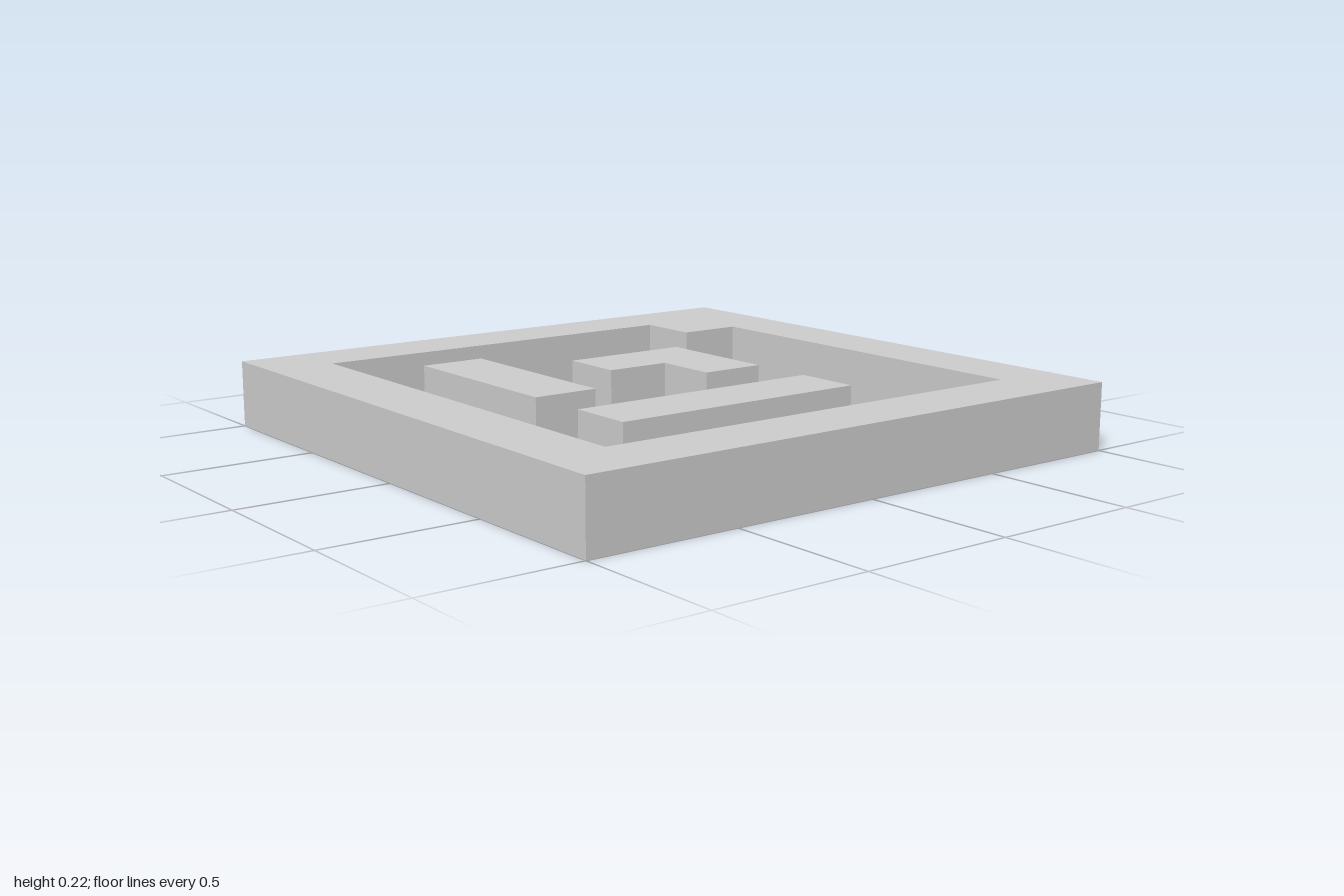
import * as THREE from 'three';

const CELL = 2 / 9;      // plan is laid out on a 9 x 9 grid
const HEIGHT = CELL;

const material = new THREE.MeshStandardMaterial({
  color: 0xcccccc, flatShading: true, side: THREE.DoubleSide,
});

// Grid corner (column, row from the back) to plan coordinates (x, -z)
const plan = (cells) => cells.map(([c, r]) => new THREE.Vector2(c * CELL - 1, 1 - r * CELL));

// Outlines, counterclockwise seen from above
const rect = (c0, r0, c1, r1) => plan([[c0, r1], [c1, r1], [c1, r0], [c0, r0]]);
const outer = rect(0, 0, 9, 9);
const pocket = plan([[1, 8], [8, 8], [8, 1], [2, 1], [2, 2], [1, 2]]);
const islands = {
  cornerIsland: plan([[3, 5], [4, 5], [4, 4], [5, 4], [5, 3], [3, 3]]),
  sideBar: rect(6, 3, 7, 7),
  frontBar: rect(2, 6, 5, 7),
};

// Flat horizontal sheet at height y, with optional holes
function sheet(name, outline, y, holes = []) {
  const shape = new THREE.Shape(outline);
  shape.holes = holes.map((h) => new THREE.Path(h));
  const geometry = new THREE.ShapeGeometry(shape).rotateX(-Math.PI / 2).translate(0, y, 0);
  const mesh = new THREE.Mesh(geometry, material);
  mesh.name = name;
  return mesh;
}

// Upright wall along a closed outline; faces outward for counterclockwise order
function walls(name, outline) {
  const pos = [];
  outline.forEach((a, i) => {
    const b = outline[(i + 1) % outline.length];
    const a0 = [a.x, 0, -a.y], a1 = [a.x, HEIGHT, -a.y];
    const b0 = [b.x, 0, -b.y], b1 = [b.x, HEIGHT, -b.y];
    pos.push(...a0, ...b0, ...b1, ...a0, ...b1, ...a1);
  });
  const geometry = new THREE.BufferGeometry();
  geometry.setAttribute('position', new THREE.Float32BufferAttribute(pos, 3));
  geometry.computeVertexNormals();
  const mesh = new THREE.Mesh(geometry, material);
  mesh.name = name;
  return mesh;
}

export function createModel() {
  const model = new THREE.Group();
  model.name = 'walledTray';

  // Hollow rim, open underneath
  const rim = new THREE.Group();
  rim.name = 'rim';
  rim.add(
    sheet('rimTop', outer, HEIGHT, [pocket]),
    walls('rimOuterWalls', outer),
    walls('rimInnerWalls', [...pocket].reverse()),
  );
  model.add(rim);

  // Floor, cut out beneath the islands
  model.add(sheet('floor', pocket, 0, Object.values(islands)));

  // Hollow raised islands
  for (const [name, outline] of Object.entries(islands)) {
    const island = new THREE.Group();
    island.name = name;
    island.add(sheet(name + 'Top', outline, HEIGHT), walls(name + 'Walls', outline));
    model.add(island);
  }
  return model;
}
